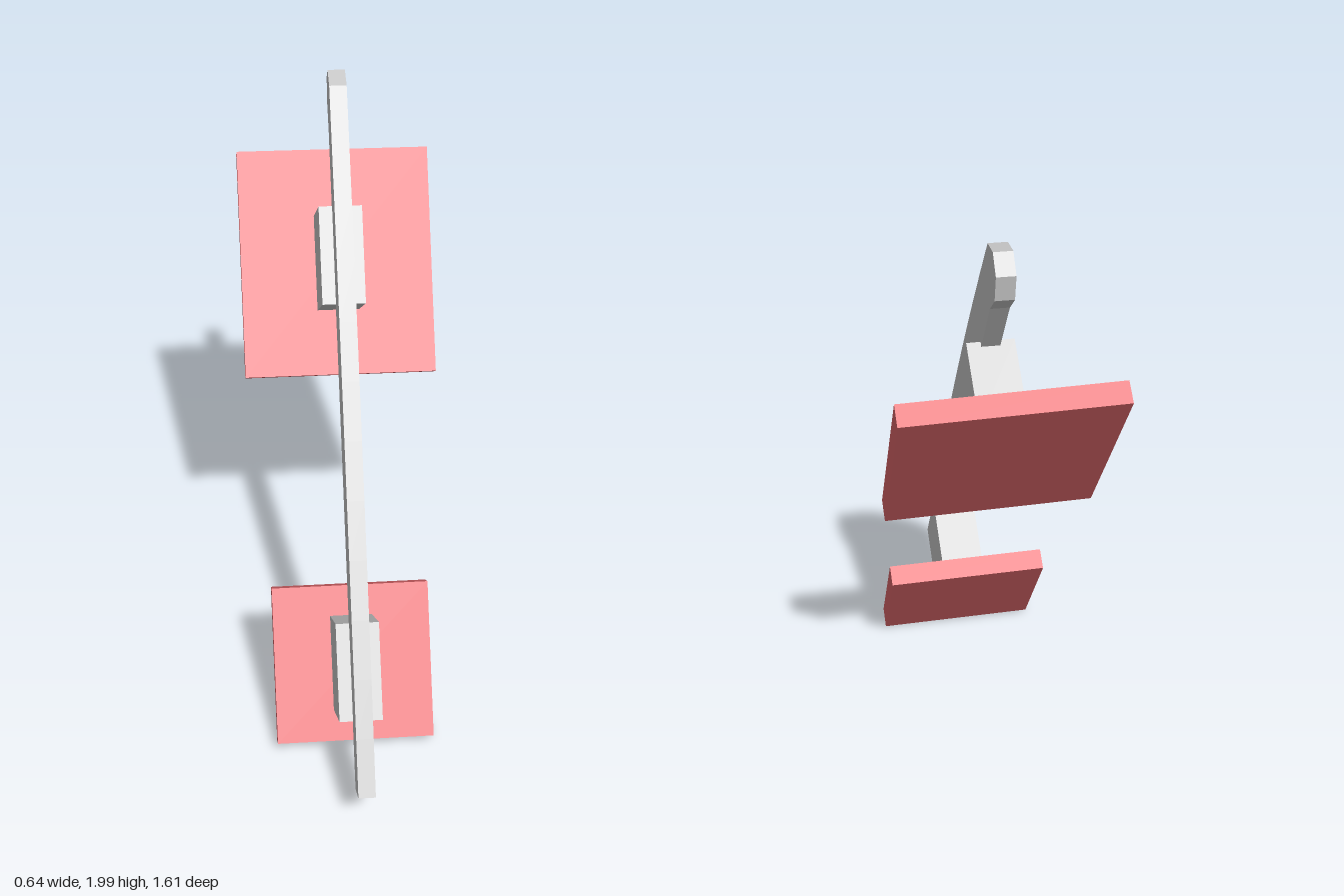
import * as THREE from 'three';

const grey = new THREE.MeshStandardMaterial({ color: 0xcccccc, flatShading: true });
const red = new THREE.MeshStandardMaterial({ color: 0xe0686c, flatShading: true });
const TILT = -THREE.MathUtils.degToRad(36);
const TWIST = THREE.MathUtils.degToRad(1.4);

// Box leaning back with the beam and very slightly twisted
function leaningBox(name, size, position, material) {
  const mesh = new THREE.Mesh(new THREE.BoxGeometry(...size), material);
  mesh.name = name;
  mesh.position.set(...position);
  mesh.rotation.set(TILT, TWIST, 0);
  return mesh;
}

// Bowed beam, outlined in the (z, y) plane and extruded across x
function makeBeam() {
  const width = 0.055;
  const shape = new THREE.Shape();
  shape.moveTo(0.685, 0.097);
  shape.lineTo(0.805, 0.185);
  shape.quadraticCurveTo(0.2, 1.13, -0.52, 1.985);
  shape.lineTo(-0.605, 2.0); // blunt rounded tip
  shape.lineTo(-0.657, 1.952);
  shape.lineTo(-0.64, 1.873);
  shape.lineTo(-0.565, 1.81);
  shape.closePath();
  const geometry = new THREE.ExtrudeGeometry(shape, { depth: width, bevelEnabled: false, curveSegments: 12 });
  geometry.rotateY(-Math.PI / 2);
  geometry.translate(0.007 + width / 2, 0, 0);
  const beam = new THREE.Mesh(geometry, grey);
  beam.name = 'beam';
  return beam;
}

export function createModel() {
  const model = new THREE.Group();
  model.name = 'paddedBeam';
  model.add(
    makeBeam(),
    // Spacer blocks behind the beam
    leaningBox('upperBlock', [0.14, 0.315, 0.25], [0.003, 1.42, -0.415], grey),
    leaningBox('lowerBlock', [0.14, 0.315, 0.25], [0.003, 0.337, 0.373], grey),
    // Flat pads on the blocks
    leaningBox('upperPad', [0.64, 0.755, 0.068], [0, 1.326, -0.55], red),
    leaningBox('lowerPad', [0.525, 0.52, 0.068], [0, 0.24, 0.243], red),
  );
  return model;
}
